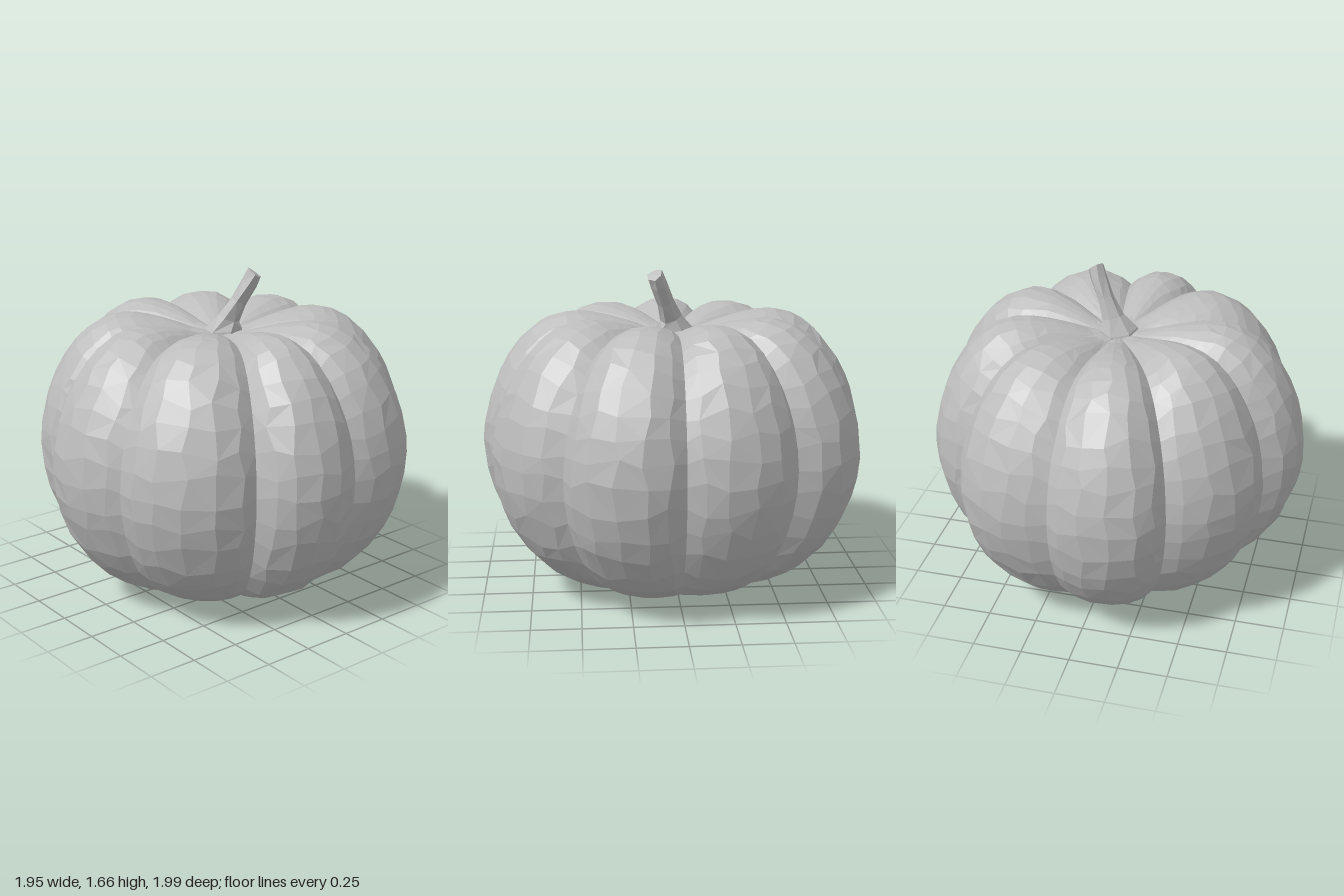
import * as THREE from 'three';

const V = (x, y, z) => new THREE.Vector3(x, y, z);

// small seeded generator, values in -1..1
function seeded(seed) {
  return () => {
    seed = (seed * 16807) % 2147483647;
    return (seed / 2147483647) * 2 - 1;
  };
}

// closed faceted skin through rings of points, top to bottom; first and last rings are poles
function loft(rings) {
  const n = rings[0].length;
  const pos = [];
  const tri = (...pts) => pts.forEach((p) => pos.push(p.x, p.y, p.z));
  for (let i = 0; i < rings.length - 1; i++) {
    const top = i === 0, bottom = i === rings.length - 2;
    for (let j = 0; j < n; j++) {
      const k = (j + 1) % n;
      const a = rings[i][j], b = rings[i][k], c = rings[i + 1][j], d = rings[i + 1][k];
      if (top) tri(a, d, c);
      else if (bottom) tri(a, b, d);
      else if ((i + j) % 2) { tri(a, b, d); tri(a, d, c); }
      else { tri(a, b, c); tri(b, d, c); }
    }
  }
  const geo = new THREE.BufferGeometry();
  geo.setAttribute('position', new THREE.Float32BufferAttribute(pos, 3));
  geo.computeVertexNormals();
  return geo;
}

// side profiles (radius, height) along the middle of a lobe and along a crease
const spline = (pts) => new THREE.SplineCurve(pts.map(([r, y]) => new THREE.Vector2(r, y)));
const lobeProfile = spline([
  [0, 1.33], [0.12, 1.34], [0.26, 1.385], [0.4, 1.415], [0.53, 1.425], [0.66, 1.39], [0.79, 1.29], [0.9, 1.13],
  [0.97, 0.95], [1, 0.75], [0.97, 0.54], [0.88, 0.33], [0.72, 0.15], [0.52, 0.05], [0.3, 0.01], [0, 0],
]);
const creaseProfile = spline([
  [0, 1.33], [0.12, 1.335], [0.25, 1.35], [0.38, 1.36], [0.5, 1.35], [0.61, 1.305], [0.71, 1.21], [0.8, 1.07],
  [0.855, 0.92], [0.88, 0.74], [0.86, 0.55], [0.79, 0.35], [0.66, 0.17], [0.49, 0.06], [0.29, 0.015], [0, 0],
]);

// uneven lobes: crease angle in degrees, crease scale, lobe scale
const lobes = [
  [0, 1.0, 1.0], [39.6, 1.03, 1.0], [82.6, 1.04, 1.01], [117, 0.99, 0.99], [159.6, 1.04, 0.985],
  [197.8, 0.97, 0.95], [240.8, 1.0, 1.01], [277.4, 1.05, 1.0], [318.8, 0.97, 0.96],
];

function pumpkinGeometry() {
  const rand = seeded(77);
  const steps = [0, 0.12, 0.3, 0.5, 0.7, 0.88];
  const rows = 25;
  const rings = [];
  for (let i = 0; i <= rows; i++) {
    const ring = [];
    const pole = i === 0 || i === rows;
    lobes.forEach(([start, creaseScale, lobeScale], n) => {
      const next = lobes[(n + 1) % lobes.length];
      const span = (next[0] - start + 360) % 360;
      steps.forEach((s) => {
        const loose = !pole && s > 0 ? 1 : 0;
        const t = s + loose * 0.03 * rand();
        const u = (i + loose * 0.25 * rand()) / rows;
        const bulge = 1 - Math.pow(Math.abs(2 * t - 1), 2.4);
        const inner = creaseProfile.getPoint(u), outer = lobeProfile.getPoint(u);
        const crease = inner.x * THREE.MathUtils.lerp(creaseScale, next[1], t);
        const r = THREE.MathUtils.lerp(crease, outer.x * lobeScale, bulge);
        const y = Math.max(0, THREE.MathUtils.lerp(inner.y, outer.y, bulge));
        const angle = THREE.MathUtils.degToRad(start + span * t);
        ring.push(V(r * Math.cos(angle), y, r * Math.sin(angle)));
      });
    });
    rings.push(ring);
  }
  return loft(rings);
}

// leaning, twisted six-sided stem with a flared foot
function stemGeometry() {
  const sections = [
    [V(0.142, 1.64, 0.105), 0], [V(0.142, 1.635, 0.105), 0.044], [V(0.122, 1.58, 0.085), 0.046],
    [V(0.08, 1.49, 0.05), 0.045], [V(0.035, 1.4, 0.02), 0.06], [V(0.005, 1.345, 0.005), 0.1],
    [V(0, 1.31, 0), 0.11], [V(0, 1.3, 0), 0],
  ];
  const leans = [0.6, 0.6, 0.45, 0.45, 0.3, 0, 0, 0];
  const up = V(0, 1, 0);
  return loft(sections.map(([centre, radius], i) => {
    const tilt = new THREE.Quaternion().setFromUnitVectors(up, V(leans[i], 1, leans[i] * 0.8).normalize());
    return Array.from({ length: 6 }, (_, j) => {
      const angle = (j / 6) * Math.PI * 2 + i * 0.12;
      const r = radius * (j % 2 ? 0.88 : 1.06);
      return V(r * Math.cos(angle), 0, r * Math.sin(angle)).applyQuaternion(tilt).add(centre);
    });
  }));
}

export function createModel() {
  const grey = new THREE.MeshStandardMaterial({ color: 0xbcbcbc, flatShading: true });
  grey.name = 'plain grey';

  const body = new THREE.Mesh(pumpkinGeometry(), grey);
  body.name = 'pumpkinBody';

  const stem = new THREE.Mesh(stemGeometry(), grey);
  stem.name = 'stem';

  const group = new THREE.Group();
  group.name = 'pumpkin';
  group.add(body, stem);
  return group;
}
